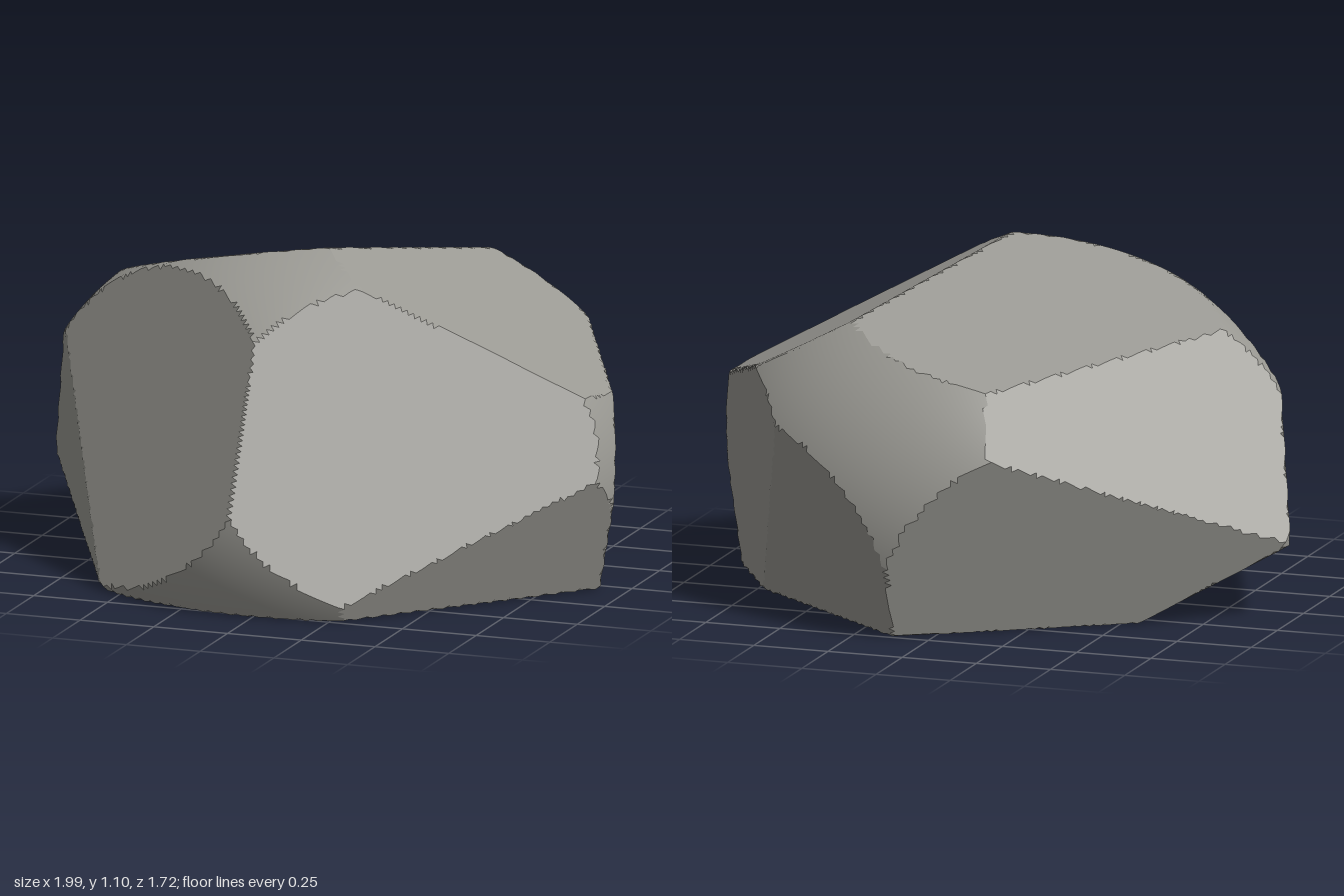
import * as THREE from 'three';

// Ellipsoid the boulder is cut from
const CENTRE = new THREE.Vector3(0, 0.345, 0);
const RADII = new THREE.Vector3(1.005, 0.8, 0.86);

// Flat cuts: outward normal x, y, z and distance from the origin
const CUTS = [
  [0, -1, 0, 0],                    // base
  [0.473, 0.881, 0, 1.008],         // sloping top, left
  [-0.162, 0.954, -0.251, 0.97],    // top
  [-0.551, 0.311, 0.774, 0.796],    // front, right half
  [0.486, 0.309, 0.817, 0.781],     // front, left half
  [-0.869, -0.025, 0.494, 0.803],   // right end
  [-0.685, 0.433, -0.585, 0.873],   // upper back right
  [-0.511, -0.339, -0.79, 0.529],   // lower back right
  [-0.487, -0.873, 0, 0.269],       // undercut, right
  [0.86, -0.07, -0.508, 0.76],      // left end
  [0.599, -0.287, -0.747, 0.632],   // lower back left
  [0.687, -0.39, 0.613, 0.65],      // lower front left
].map(([x, y, z, d]) => {
  const normal = new THREE.Vector3(x, y, z);
  const length = normal.length();
  normal.divideScalar(length);
  return { normal, reach: d / length - normal.dot(CENTRE) };
});

// Walk outward along a unit direction to the ellipsoid or the first cut
function hit(direction) {
  const ray = direction.clone().multiply(RADII);
  let t = 1, cut = null;
  for (const c of CUTS) {
    const along = c.normal.dot(ray);
    if (along > 1e-6 && c.reach / along < t) {
      t = c.reach / along;
      cut = c;
    }
  }
  return { point: ray.multiplyScalar(t).add(CENTRE), cut };
}

function boulderGeometry() {
  const geometry = new THREE.IcosahedronGeometry(1, 48);
  const position = geometry.attributes.position;
  const normal = geometry.attributes.normal;
  const corners = [0, 1, 2].map(() => new THREE.Vector3());
  const middle = new THREE.Vector3();
  for (let i = 0; i < position.count; i += 3) {
    corners.forEach((c, k) => c.fromBufferAttribute(position, i + k).normalize());
    middle.copy(corners[0]).add(corners[1]).add(corners[2]).normalize();
    const { cut } = hit(middle);
    corners.forEach((c, k) => {
      const p = hit(c).point;
      position.setXYZ(i + k, p.x, p.y, p.z);
      // Flat normals on the cuts, smooth ones on the rounded parts
      const n = cut ? cut.normal : c.clone().divide(RADII).normalize();
      normal.setXYZ(i + k, n.x, n.y, n.z);
    });
  }
  geometry.deleteAttribute('uv');
  return geometry;
}

export function createModel() {
  const stone = new THREE.MeshStandardMaterial({ color: 0x9b9a94 });
  stone.name = 'stone grey';
  const boulder = new THREE.Mesh(boulderGeometry(), stone);
  boulder.name = 'boulder';
  const model = new THREE.Group();
  model.name = 'rock';
  model.add(boulder);
  return model;
}
